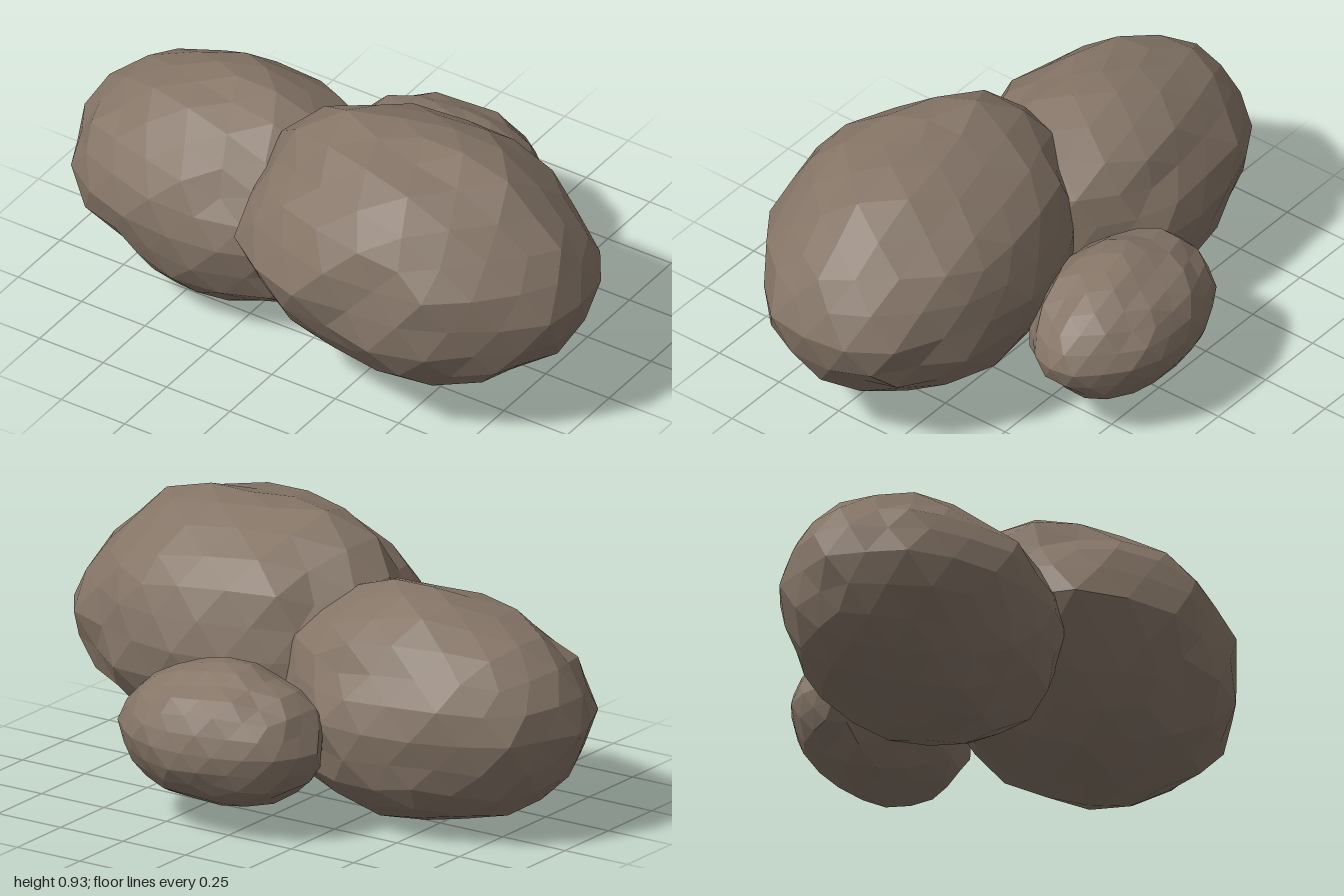
import * as THREE from 'three';

// Repeatable value in -1..1 for a direction, so shared corners move together
function jitter(v, seed) {
  const q = (n) => Math.round(n * 1000) / 1000;
  const s = Math.sin(q(v.x) * 127.1 + q(v.y) * 311.7 + q(v.z) * 74.7 + seed * 19.3) * 43758.5453;
  return (s - Math.floor(s)) * 2 - 1;
}

// Faceted boulder: a roughened, stretched icosphere pulled towards a few bumps
// on the planes through its centre: front [x, y], top [x, z], side [z, y].
function boulder(material, { name, seed, centre, radii, front = [], top = [], side = [] }) {
  const c = new THREE.Vector3(...centre);
  const size = new THREE.Vector3(...radii);
  const bumps = [
    ...front.map(([x, y]) => new THREE.Vector3(x, y, c.z)),
    ...top.map(([x, z]) => new THREE.Vector3(x, c.y, z)),
    ...side.map(([z, y]) => new THREE.Vector3(c.x, y, z)),
  ].map((p) => {
    p.sub(c).divide(size);
    const reach = p.length();
    return { dir: p.normalize(), reach };
  });

  const geometry = new THREE.IcosahedronGeometry(1, 3);
  geometry.rotateZ(-Math.atan2(2, 1 + Math.sqrt(5))); // a corner points straight up
  const pos = geometry.attributes.position;
  const v = new THREE.Vector3();
  for (let i = 0; i < pos.count; i++) {
    v.fromBufferAttribute(pos, i).normalize();
    let weight = 0.2;
    let sum = weight * (0.99 + 0.045 * jitter(v, seed));
    for (const { dir, reach } of bumps) {
      const w = Math.exp(-((v.angleTo(dir) / 0.2) ** 2));
      weight += w;
      sum += w * reach;
    }
    v.multiplyScalar(sum / weight).multiply(size).add(c);
    pos.setXYZ(i, v.x, v.y, v.z);
  }
  geometry.computeVertexNormals();

  const mesh = new THREE.Mesh(geometry, material);
  mesh.name = name;
  return mesh;
}

export function createModel() {
  const group = new THREE.Group();
  group.name = 'rockCluster';
  const stone = new THREE.MeshStandardMaterial({ color: 0x857567 });
  stone.name = 'brownStone';
  stone.flatShading = true;

  group.add(boulder(stone, {
    name: 'largeBoulder', seed: 1, centre: [0.39, 0.5, 0.19], radii: [0.61, 0.43, 0.475],
    front: [[0, 0.91], [0.7, 0.9], [0.97, 0.62], [1, 0.39], [0.64, 0.1], [-0.09, 0.3], [-0.11, 0.81]],
    top: [[0.1, 0.66], [-0.16, 0.51], [0.79, 0.53], [1, 0.35], [1, 0.05], [0.63, -0.22], [0.09, -0.19]],
    side: [[-0.2, 0.72], [-0.09, 0.14], [0.4, 0.13], [0.55, 0.81]],
  }));

  group.add(boulder(stone, {
    name: 'mediumBoulder', seed: 2, centre: [-0.42, 0.39, 0.07], radii: [0.58, 0.39, 0.415],
    front: [[-0.93, 0.6], [-0.67, 0.73], [-0.2, 0.78], [-0.91, 0.19], [-0.59, 0.05], [-0.45, 0], [-0.13, 0.05]],
    top: [[-0.9, -0.19], [-0.4, -0.35], [-0.06, -0.2], [-0.9, 0.34], [-0.59, 0.48], [-0.18, 0.46]],
    side: [[0.27, 0.02], [-0.22, 0.1], [-0.26, 0.56]],
  }));

  group.add(boulder(stone, {
    name: 'smallBoulder', seed: 3, centre: [0.08, 0.32, -0.41], radii: [0.37, 0.24, 0.26],
    top: [[0.32, -0.62], [0.46, -0.49], [0.46, -0.36], [-0.14, -0.62], [-0.24, -0.55]],
    side: [[-0.34, 0.56], [-0.53, 0.5], [-0.63, 0.44], [-0.57, 0.14]],
  }));
  return group;
}
